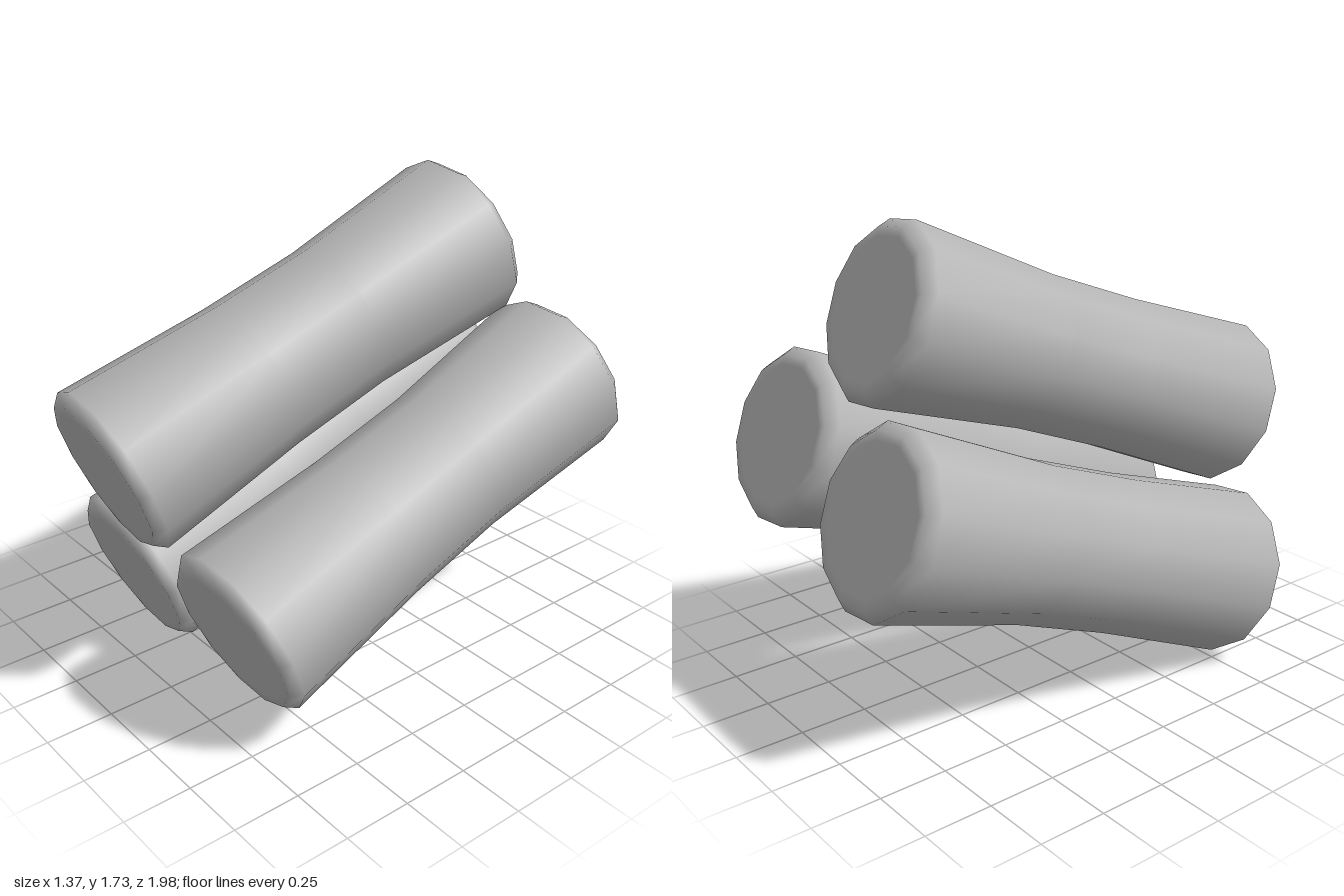
import * as THREE from 'three';

const SIDES = 12;
const RADIUS = 0.322;

// Log profile from front cap to back cap: bevelled ends and a slim waist
function logGeometry(length) {
  const h = length / 2;
  const profile = [
    [0, -h], [0.25, -h], [0.285, -h], [RADIUS, -h + 0.04],
    [0.29, -h + length * 0.38], [0.286, -h + length * 0.62],
    [RADIUS, h - 0.04], [0.285, h], [0.25, h], [0, h],
  ].map(([r, y]) => new THREE.Vector2(r, y));
  return new THREE.LatheGeometry(profile, SIDES, THREE.MathUtils.degToRad(20));
}

// Places a log between the centres of its front and back caps
function makeLog(name, front, back, material) {
  const a = new THREE.Vector3(...front);
  const b = new THREE.Vector3(...back);
  const axis = b.clone().sub(a);
  const length = axis.length();
  axis.normalize();
  const up = new THREE.Vector3(1, 0, 0).cross(axis).normalize();
  const side = axis.clone().cross(up);

  const log = new THREE.Mesh(logGeometry(length), material);
  log.name = name;
  log.quaternion.setFromRotationMatrix(new THREE.Matrix4().makeBasis(side, axis, up));
  log.position.copy(a).add(b).multiplyScalar(0.5);
  return log;
}

export function createModel() {
  const grey = new THREE.MeshStandardMaterial({ color: 0xb4b4b4 });
  grey.name = 'plain grey';

  const stack = new THREE.Group();
  stack.name = 'logStack';
  stack.add(
    makeLog('topLog', [-0.115, 0.88, 0.895], [-0.01, 1.465, -0.66], grey),
    makeLog('lowerRightLog', [-0.37, 0.303, 0.665], [-0.33, 0.89, -0.892], grey),
    makeLog('lowerLeftLog', [0.362, 0.407, 0.725], [0.357, 0.978, -0.835], grey),
  );
  return stack;
}
